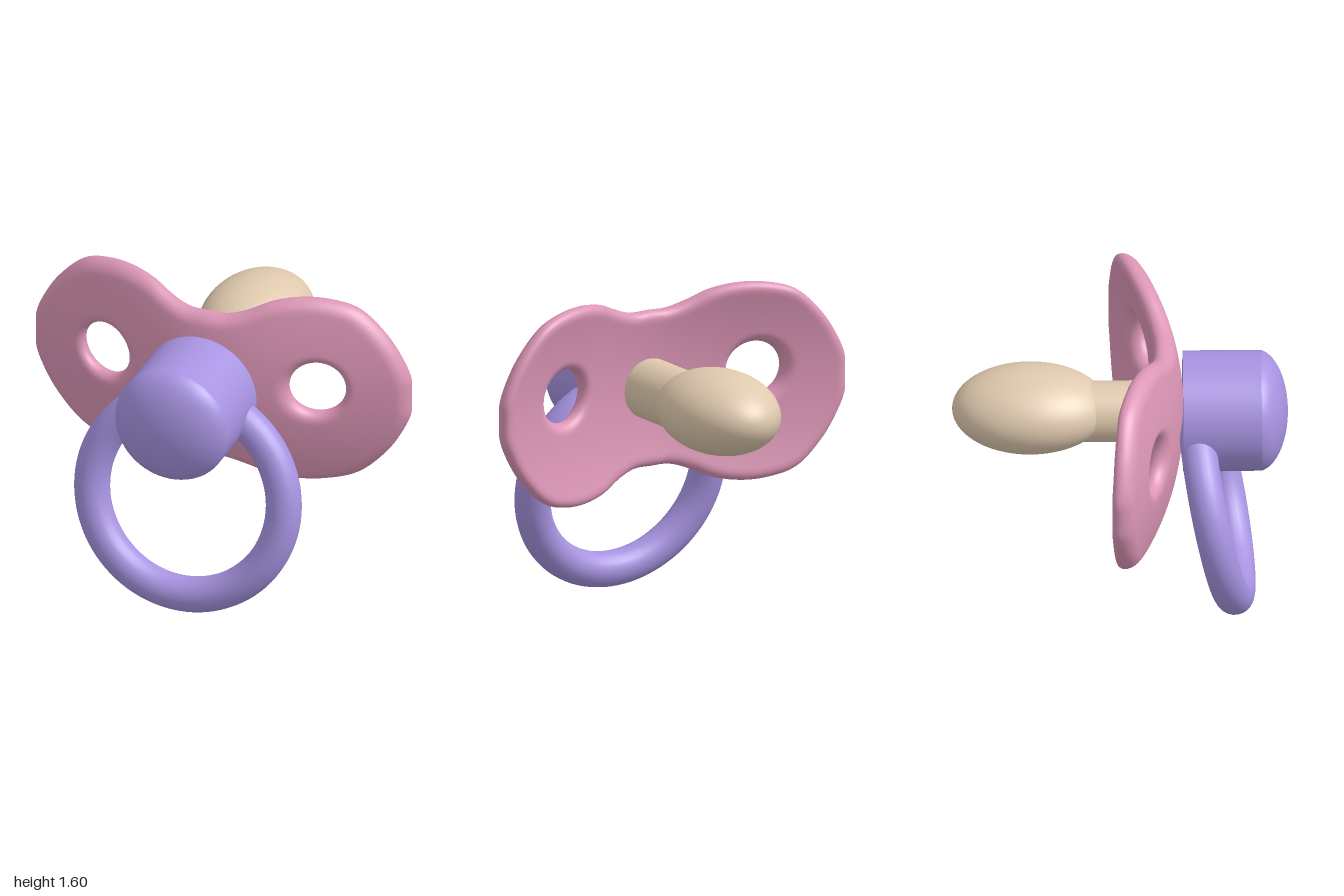
import * as THREE from 'three';
import { mergeVertices } from 'three/addons/utils/BufferGeometryUtils.js';

const MID_Y = 1.096;
const HOLE = new THREE.Vector2(0.56, 1.144);
const HOLE_R = 0.137;

// Cosine spacing: samples gather at both ends
const ease = (t) => (1 - Math.cos(Math.PI * t)) / 2;

// Outline of one half of the shield, clockwise from top centre to bottom centre
function halfOutline() {
  const top = [[0, 1.495], [0.1, 1.495], [0.2, 1.525], [0.32, 1.578], [0.45, 1.602],
    [0.58, 1.597], [0.73, 1.553], [0.87, 1.425], [0.955, 1.295], [1, 1.18]];
  const pts = [...top, ...top.map(([x, y]) => [x, 2 * MID_Y - y]).reverse()];
  const curve = new THREE.CatmullRomCurve3(pts.map(([x, y]) => new THREE.Vector3(x, y, 0)), false, 'centripetal');
  const out = curve.getSpacedPoints(96).map((p) => new THREE.Vector2(Math.min(p.x, 1), p.y));
  out[0].x = out[96].x = 0;
  return out;
}

function distanceTo(line, p) {
  let best = Infinity;
  for (let i = 0; i + 1 < line.length; i++) {
    const a = line[i], dx = line[i + 1].x - a.x, dy = line[i + 1].y - a.y;
    const t = THREE.MathUtils.clamp(((p.x - a.x) * dx + (p.y - a.y) * dy) / (dx * dx + dy * dy), 0, 1);
    best = Math.min(best, Math.hypot(p.x - a.x - t * dx, p.y - a.y - t * dy));
  }
  return best;
}

// Quarter-round falloff near an edge
const round = (d, r) => Math.sqrt(Math.max(0, 1 - (1 - Math.min(d / r, 1)) ** 2));
// Dish of the shield: wings sweep back, upper and lower edges curl back
const dish = (x, y) => 0.26 - 0.38 * (Math.hypot(x, 0.35) - 0.35) - 0.32 * (y - MID_Y) ** 2;

// Curved plate: rings run from each round hole out to the outline, front and back, mirrored
function shieldGeometry() {
  const outline = halfOutline();
  const loop = [...outline];
  const first = outline[0], last = outline[outline.length - 1];
  for (let i = 1; i < 32; i++) loop.push(new THREE.Vector2(0, THREE.MathUtils.lerp(last.y, first.y, ease(i / 32))));
  const n = loop.length, rings = 30;

  const grid = [];
  for (const p of loop) {
    const rim = p.clone().sub(HOLE).setLength(HOLE_R).add(HOLE);
    for (let j = 0; j <= rings; j++) {
      const q = rim.clone().lerp(p, ease(j / rings));
      const half = 0.055 * round(distanceTo(outline, q), 0.055) * round(q.distanceTo(HOLE) - HOLE_R, 0.055);
      grid.push({ x: q.x, y: q.y, half });
    }
  }

  const positions = [], index = [];
  for (const side of [1, -1]) {
    for (const face of [1, -1]) {
      const base = positions.length / 3;
      for (const g of grid) positions.push(side * g.x, g.y, dish(g.x, g.y) + face * g.half);
      for (let i = 0; i < n; i++) {
        for (let j = 0; j < rings; j++) {
          const a = base + i * (rings + 1) + j;
          const b = base + ((i + 1) % n) * (rings + 1) + j;
          if (side * face > 0) index.push(a, b, b + 1, a, b + 1, a + 1);
          else index.push(a, b + 1, b, a, a + 1, b + 1);
        }
      }
    }
  }
  let geo = new THREE.BufferGeometry();
  geo.setAttribute('position', new THREE.Float32BufferAttribute(positions, 3));
  geo.setIndex(index);
  geo = mergeVertices(geo, 1e-4);
  geo.computeVertexNormals();
  return geo;
}

// Cylinder lying along z between two depths
function rod(radius, z0, z1) {
  return new THREE.CylinderGeometry(radius, radius, z1 - z0, 64)
    .rotateX(Math.PI / 2).translate(0, MID_Y, (z0 + z1) / 2);
}

export function createModel() {
  const pink = new THREE.MeshStandardMaterial({ color: 0xdc96b6 });
  const purple = new THREE.MeshStandardMaterial({ color: 0xa793e1 });
  const tan = new THREE.MeshStandardMaterial({ color: 0xdfc9ae });
  pink.name = 'pink';
  purple.name = 'purple';
  tan.name = 'tan';

  const model = new THREE.Group();
  model.name = 'pacifier';
  const add = (name, geometry, material) => {
    const mesh = new THREE.Mesh(geometry, material);
    mesh.name = name;
    model.add(mesh);
    return mesh;
  };

  add('shield', shieldGeometry(), pink);

  // Knob with domed front meeting the side at a slight edge
  add('knob', rod(0.3, 0.31, 0.7), purple);
  const rimAngle = Math.PI * 0.45;
  const domeDepth = 0.132 / (1 - Math.cos(rimAngle));
  const domeRadius = 0.3 / Math.sin(rimAngle);
  add('knobDome', new THREE.SphereGeometry(1, 64, 24, 0, Math.PI * 2, 0, rimAngle)
    .rotateX(Math.PI / 2).translate(0, 0, -Math.cos(rimAngle))
    .scale(domeRadius, domeRadius, domeDepth).translate(0, MID_Y, 0.7), purple);

  // Handle ring hanging through the knob, swung forward at the bottom
  const ring = add('handleRing', new THREE.TorusGeometry(0.51, 0.09, 24, 96), purple);
  ring.position.set(0, 0.589, 0.478);
  ring.rotation.x = -0.205;

  // Teat: neck and flattened bulb
  add('teatNeck', rod(0.153, -0.22, 0.24), tan);
  add('teatBulb', new THREE.SphereGeometry(1, 64, 40)
    .rotateX(Math.PI / 2).scale(0.275, 0.21, 0.388).translate(0, 1.118, -0.448), tan);

  return model;
}
